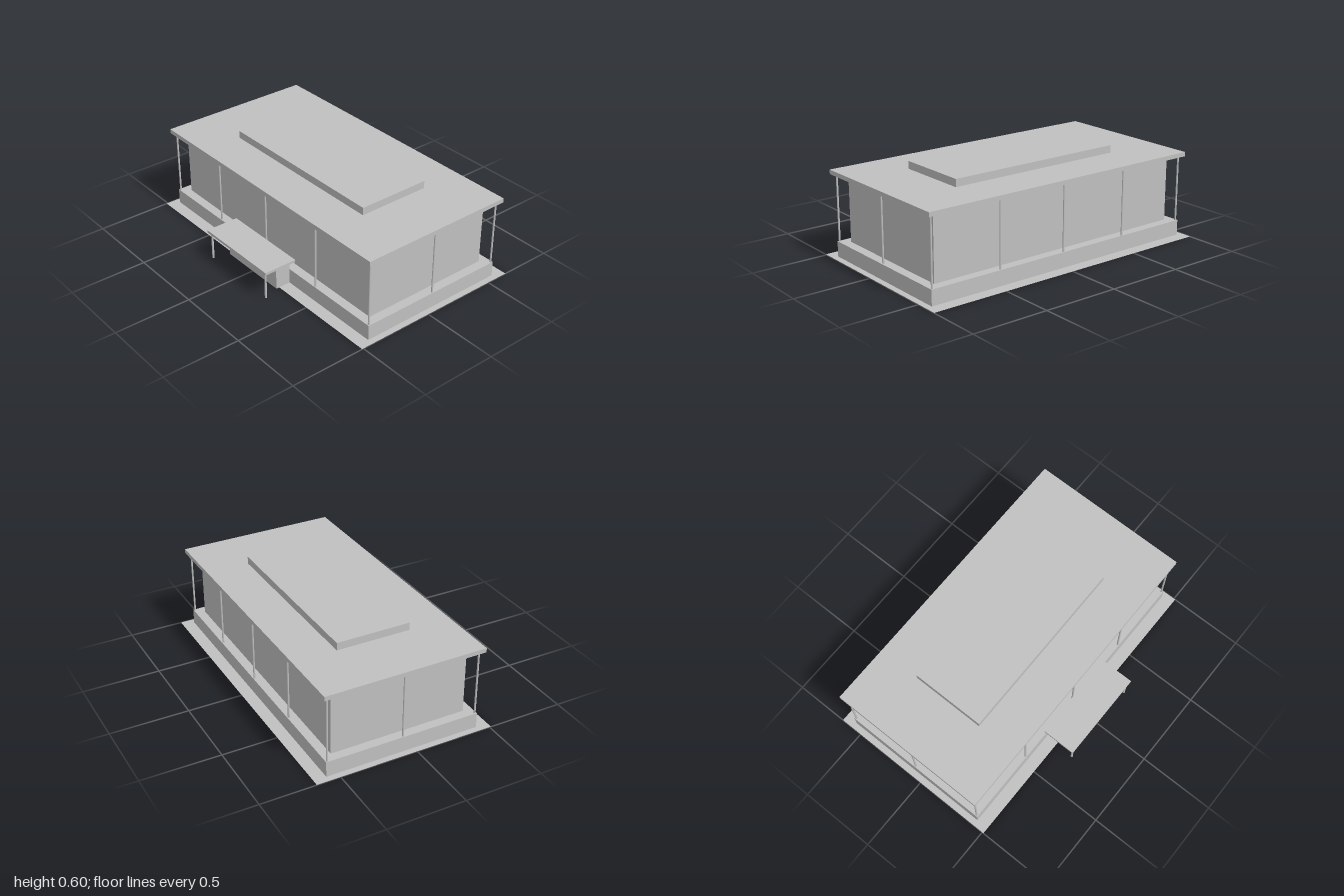
import * as THREE from 'three';

export function createModel() {
  const model = new THREE.Group();
  model.name = 'pavilion';
  const grey = new THREE.MeshStandardMaterial({ color: 0xc0c0c0 });
  grey.name = 'light grey';
  const greySheet = grey.clone();
  greySheet.side = THREE.DoubleSide;

  // Box given by its half width in x and its y and z ranges
  function block(name, halfX, y0, y1, z0, z1) {
    const mesh = new THREE.Mesh(new THREE.BoxGeometry(halfX * 2, y1 - y0, z1 - z0), grey);
    mesh.position.set(0, (y0 + y1) / 2, (z0 + z1) / 2);
    mesh.name = name;
    model.add(mesh);
  }

  // Slim round post standing on y0
  function post(name, radius, x, z, y0, y1) {
    const mesh = new THREE.Mesh(new THREE.CylinderGeometry(radius, radius, y1 - y0, 12), grey);
    mesh.position.set(x, (y0 + y1) / 2, z);
    mesh.name = name;
    model.add(mesh);
  }

  // Ground sheet
  const ground = new THREE.Mesh(new THREE.PlaneGeometry(2, 1.16), greySheet);
  ground.rotation.x = -Math.PI / 2;
  ground.position.set(0, 0.001, -0.07);
  ground.name = 'groundSheet';
  model.add(ground);

  // Main building
  block('plinth', 0.96, 0, 0.1, -0.57, 0.43);
  block('walls', 0.9, 0.1, 0.525, -0.51, 0.37);
  block('roof', 0.98, 0.525, 0.553, -0.59, 0.45);
  block('roofUpstand', 0.6, 0.553, 0.602, -0.31, 0.17);

  // Colonnade: five along front and back, one midway on each side
  for (const x of [-0.95, -0.475, 0, 0.475, 0.95]) {
    for (const z of [-0.56, 0.42]) post('column', 0.006, x, z, 0.1, 0.525);
  }
  for (const x of [-0.95, 0.95]) post('sideColumn', 0.006, x, -0.07, 0.1, 0.525);

  // Entrance
  block('vestibule', 0.24, 0, 0.18, 0.43, 0.53);
  block('canopy', 0.298, 0.18, 0.197, 0.43, 0.65);
  for (const x of [-0.272, 0.272]) post('canopyPost', 0.007, x, 0.633, 0, 0.18);

  return model;
}
